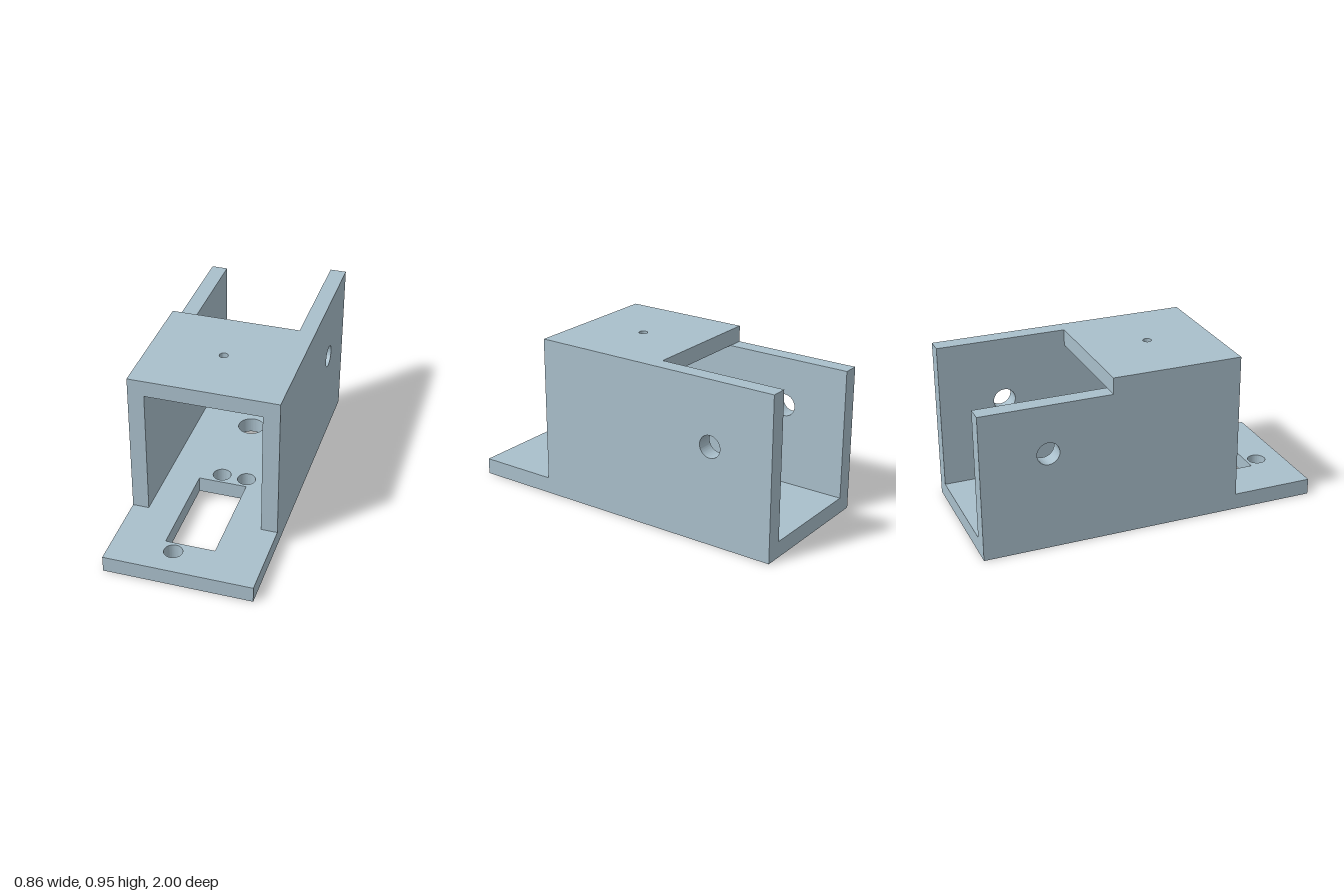
import * as THREE from 'three';
import { toCreasedNormals } from 'three/addons/utils/BufferGeometryUtils.js';

const W = 0.428;      // half width
const H = 0.953;      // full height
const T = 0.095;      // plate thickness
const FRONT = 0.52;   // front end of the walls and roof
const NOTCH = -0.24;  // rear end of the roof

const polygon = (points) => points.map(([x, y]) => new THREE.Vector2(x, y));

const circle = (x, y, r) => new THREE.Path().absarc(x, y, r, 0, Math.PI * 2, true);

// Plate of thickness T with holes cut through
function plate(points, holes) {
  const shape = new THREE.Shape(polygon(points));
  shape.holes.push(...holes);
  const geometry = new THREE.ExtrudeGeometry(shape, { depth: T, bevelEnabled: false, curveSegments: 40 });
  return toCreasedNormals(geometry, 0.5);
}

// Rectangle outline, in x and z, for a horizontal plate
const rect = (x0, x1, z0, z1) => [[x0, -z1], [x1, -z1], [x1, -z0], [x0, -z0]];

export function createModel() {
  const group = new THREE.Group();
  const material = new THREE.MeshStandardMaterial({ color: 0xa9bfcb });
  material.name = 'blue grey';

  const add = (name, geometry) => {
    const mesh = new THREE.Mesh(geometry, material);
    mesh.name = name;
    group.add(mesh);
  };

  // Floor with a rectangular window, three screw holes and a rear hole
  const floorHoles = [
    new THREE.Path(polygon(rect(-0.143, 0.143, 0.17, 0.77)).reverse()),
    circle(-0.075, -0.84, 0.053),
    circle(-0.025, -0.1, 0.053),
    circle(0.125, -0.1, 0.053),
    circle(0, 0.43, 0.079),
  ];
  add('floor', plate(rect(-W, W, -1, 1), floorHoles).rotateX(-Math.PI / 2));

  // Roof over the front half, between the walls
  const roof = plate(rect(-W + T, W - T, NOTCH, FRONT), [circle(0, -0.14, 0.025)]);
  add('roof', roof.rotateX(-Math.PI / 2).translate(0, H - T, 0));

  // Side walls; the right one steps down behind the roof
  const wall = (rearHeight) => plate(
    [[-FRONT, T], [1, T], [1, rearHeight], [-NOTCH, rearHeight],
      ...(rearHeight < H ? [[-NOTCH, H]] : []), [-FRONT, H]],
    [circle(0.615, 0.575, 0.065)],
  ).rotateY(Math.PI / 2);
  add('leftWall', wall(H).translate(W - T, 0, 0));
  add('rightWall', wall(H - T).translate(-W, 0, 0));

  return group;
}
